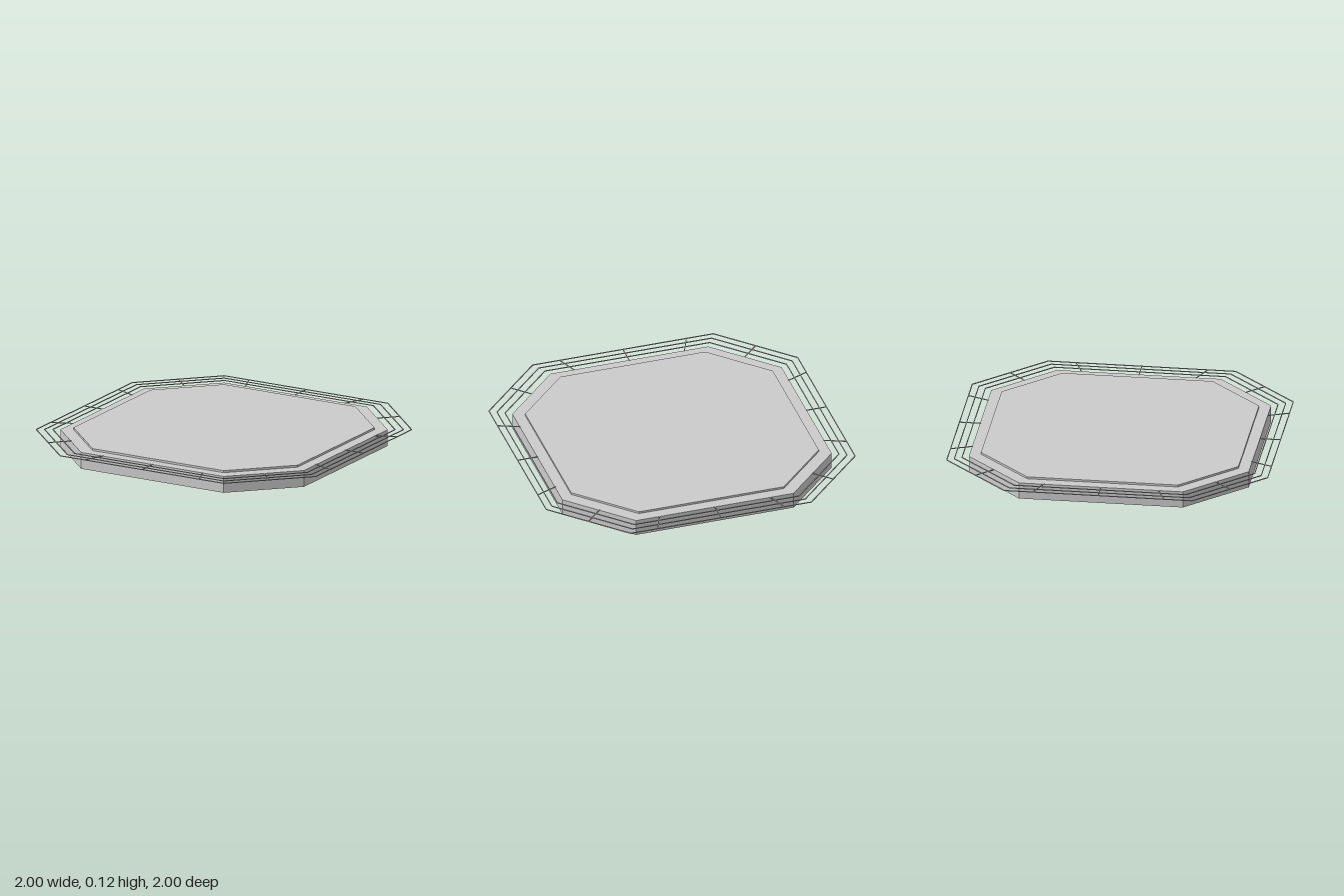
import * as THREE from 'three';

const CORNER = 0.585; // corner position as a fraction of the half width
const WIRE = 0.005;
const NET_Y = 0.105;

// Square with cut corners, drawn on the ground plane
function octagon(half, PathType = THREE.Shape) {
  const c = half * CORNER;
  const pts = [[half, -c], [half, c], [c, half], [-c, half], [-half, c], [-half, -c], [-c, -half], [c, -half]];
  return new PathType(pts.map(([x, y]) => new THREE.Vector2(x, y)));
}

function slab(name, shape, y, height, material) {
  const geometry = new THREE.ExtrudeGeometry(shape, { depth: height, bevelEnabled: false });
  geometry.rotateX(-Math.PI / 2);
  const mesh = new THREE.Mesh(geometry, material);
  mesh.name = name;
  mesh.position.y = y;
  return mesh;
}

export function createModel() {
  const model = new THREE.Group();
  model.name = 'landingPad';
  const material = new THREE.MeshStandardMaterial({ color: 0xcccccc, flatShading: true });

  // Deck and the slightly raised landing surface
  model.add(slab('deck', octagon(0.87), 0, 0.105, material));
  model.add(slab('landingSurface', octagon(0.8), 0.105, 0.013, material));

  // Safety net: three thin octagonal wires around the deck
  const net = new THREE.Group();
  net.name = 'safetyNet';
  for (const half of [0.912, 0.956, 1]) {
    const ring = octagon(half);
    ring.holes.push(octagon(half - WIRE, THREE.Path));
    net.add(slab('netWire', ring, NET_Y - WIRE / 2, WIRE, material));
  }

  // Struts carrying the wires, fanned out from the deck edge
  function addStrut(x0, z0, x1, z1, angle) {
    const dx = x1 - x0, dz = z1 - z0;
    const pivot = new THREE.Group();
    const strut = new THREE.Mesh(new THREE.BoxGeometry(WIRE, WIRE, Math.hypot(dx, dz)), material);
    strut.name = 'netStrut';
    strut.position.set((x0 + x1) / 2, NET_Y, (z0 + z1) / 2);
    strut.rotation.y = Math.atan2(dx, dz);
    pivot.rotation.y = angle;
    pivot.add(strut);
    net.add(pivot);
  }
  for (let side = 0; side < 4; side++) {
    const angle = side * Math.PI / 2;
    for (const s of [-1, 0, 1]) addStrut(s * 0.355, 0.865, s * 0.41, 0.998, angle);
    addStrut(0.687, 0.687, 0.79, 0.79, angle);
  }
  model.add(net);
  return model;
}
